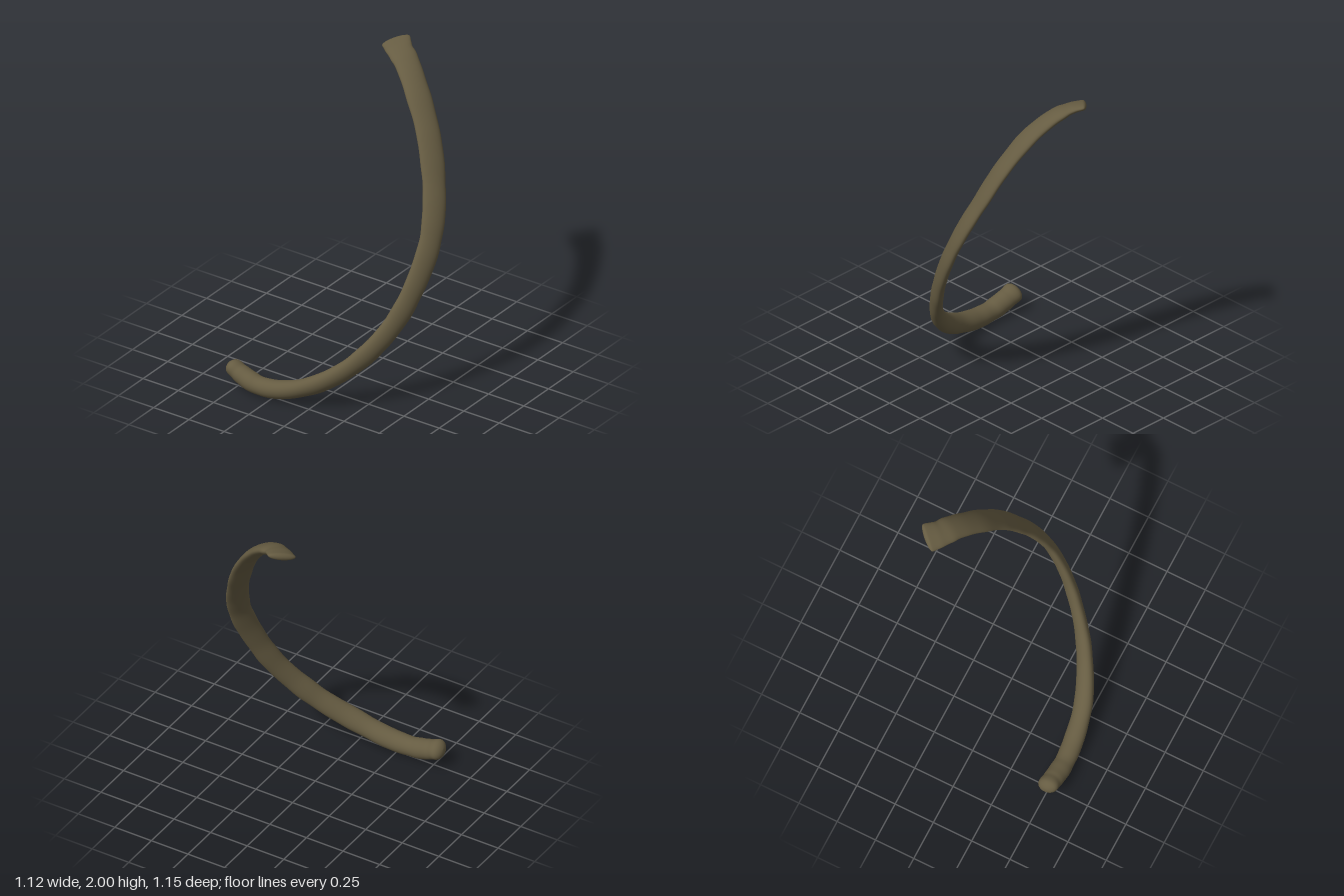
import * as THREE from 'three';

// Stations along the bone, upper end first:
// [centre x, y, z,  broad axis x, y, z,  broad width, thin width]
const STATIONS = [
  [-0.085, 1.972, -0.505, -0.47, -0.30, 0.82, 0.17, 0.045],
  [-0.03, 1.955, -0.46, -0.48, -0.25, 0.82, 0.16, 0.055],
  [0.05, 1.92, -0.415, -0.50, -0.10, 0.84, 0.155, 0.065],
  [0.18, 1.805, -0.335, -0.50, 0.08, 0.85, 0.155, 0.065],
  [0.32, 1.61, -0.25, -0.52, 0.20, 0.80, 0.155, 0.062],
  [0.415, 1.4, -0.17, -0.55, 0.30, 0.75, 0.15, 0.06],
  [0.478, 1.2, -0.085, -0.57, 0.35, 0.72, 0.145, 0.062],
  [0.50, 1.02, -0.005, -0.57, 0.38, 0.72, 0.14, 0.064],
  [0.475, 0.8, 0.1, -0.57, 0.40, 0.72, 0.135, 0.07],
  [0.415, 0.6, 0.195, -0.57, 0.40, 0.72, 0.13, 0.074],
  [0.315, 0.42, 0.295, -0.57, 0.40, 0.72, 0.13, 0.08],
  [0.18, 0.27, 0.385, -0.50, 0.45, 0.72, 0.13, 0.09],
  [0.0, 0.148, 0.465, -0.30, 0.55, 0.70, 0.13, 0.1],
  [-0.2, 0.076, 0.505, 0, 0.60, 0.75, 0.125, 0.11],
  [-0.35, 0.066, 0.517, 0, 0.55, 0.80, 0.122, 0.115],
  [-0.46, 0.094, 0.512, 0, 0.50, 0.85, 0.125, 0.115],
  [-0.525, 0.122, 0.506, 0, 0.50, 0.85, 0.125, 0.1],
];

const curveOf = (pick) => new THREE.CatmullRomCurve3(STATIONS.map((s) => new THREE.Vector3(...pick(s))));

// Sweep of an oval section that turns and changes size along the path
function sweptBone(rings, sides) {
  const path = curveOf((s) => s.slice(0, 3));
  const broad = curveOf((s) => s.slice(3, 6));
  // the third value only keeps neighbouring points distinct
  const size = curveOf((s) => [s[6], s[7], STATIONS.indexOf(s)]);
  const pos = [], index = [];

  const addRing = (t, scale, push) => {
    const tangent = path.getTangent(t);
    const centre = path.getPoint(t).addScaledVector(tangent, push);
    const w = broad.getPoint(t);
    w.addScaledVector(tangent, -w.dot(tangent)).normalize();
    const n = new THREE.Vector3().crossVectors(tangent, w);
    const d = size.getPoint(t);
    // faint unevenness of the surface
    const wave = 1 + 0.018 * Math.sin(t * 71) + 0.012 * Math.sin(t * 127 + 1);
    for (let j = 0; j < sides; j++) {
      const a = (j / sides) * Math.PI * 2;
      const p = centre.clone()
        .addScaledVector(w, Math.cos(a) * d.x * 0.5 * scale * wave)
        .addScaledVector(n, Math.sin(a) * d.y * 0.5 * scale * wave);
      pos.push(p.x, p.y, p.z);
    }
  };

  // rounded upper end, shaft, rounded lower end
  const steps = 6;
  const angle = (k) => (k / steps) * Math.PI / 2;
  for (let k = 0; k < steps; k++) addRing(0, Math.max(Math.sin(angle(k)), 0.002), -0.02 * Math.cos(angle(k)));
  for (let i = 0; i <= rings; i++) addRing(i / rings, 1, 0);
  for (let k = steps - 1; k >= 0; k--) addRing(1, Math.max(Math.sin(angle(k)), 0.002), 0.04 * Math.cos(angle(k)));

  const count = pos.length / 3 / sides;
  for (let i = 0; i < count - 1; i++) {
    for (let j = 0; j < sides; j++) {
      const a = i * sides + j, b = i * sides + (j + 1) % sides;
      index.push(a, b, a + sides, b, b + sides, a + sides);
    }
  }
  const geo = new THREE.BufferGeometry();
  geo.setAttribute('position', new THREE.Float32BufferAttribute(pos, 3));
  geo.setIndex(index);
  geo.computeVertexNormals();
  return geo;
}

export function createModel() {
  const group = new THREE.Group();
  group.name = 'ribBone';
  const material = new THREE.MeshStandardMaterial({ color: 0x665c42 });
  const rib = new THREE.Mesh(sweptBone(160, 28), material);
  rib.name = 'rib';
  group.add(rib);
  return group;
}
